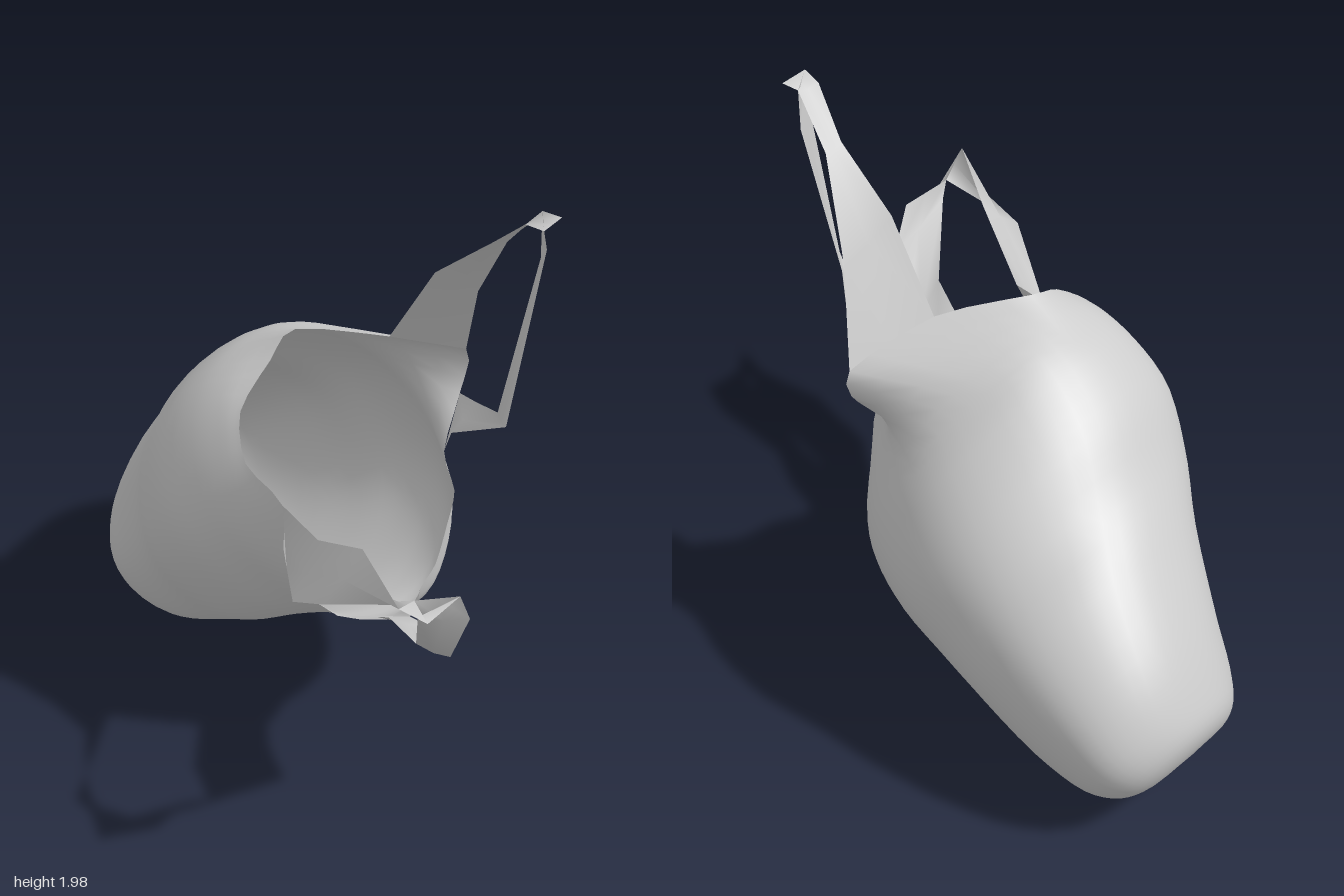
import * as THREE from 'three';

const material = new THREE.MeshStandardMaterial({ color: 0xcccccc, side: THREE.DoubleSide });

// Bag space to world: t runs along the bag to its mouth, s across it, z stays
const place = (t, s, z) => new THREE.Vector3(0.85 * t - 0.53 * s, 0.53 * t + 0.85 * s, z);

// Oval cross-sections: t, s min, s max, z min, z max, lean of the top in z
const RINGS = [
  [-0.705, 0.66, 0.68, -0.33, -0.31, 0],
  [-0.695, 0.53, 0.79, -0.53, -0.12, -0.05],
  [-0.66, 0.44, 0.87, -0.62, -0.05, -0.07],
  [-0.58, 0.36, 0.94, -0.69, 0.02, -0.09],
  [-0.42, 0.285, 1.03, -0.73, 0.1, -0.09],
  [-0.15, 0.25, 1.11, -0.75, 0.22, -0.04],
  [0.05, 0.24, 1.16, -0.74, 0.33, 0.02],
  [0.25, 0.23, 1.23, -0.72, 0.39, 0.07],
  [0.43, 0.2, 1.25, -0.66, 0.38, 0.08],
  [0.57, 0.18, 1.24, -0.58, 0.37, 0.05],
];

// Uneven mouth edge (t, s, z), from the top round by the front
const RIM = [
  [0.72, 1.22, -0.04], [0.7, 1.17, 0.1], [0.64, 1.07, 0.25], [0.65, 0.92, 0.33],
  [0.76, 0.77, 0.36], [0.63, 0.56, 0.34], [0.62, 0.33, 0.22], [0.78, 0.235, 0.08],
  [0.72, 0.27, -0.07], [0.7, 0.3, -0.2], [0.76, 0.41, -0.27], [0.81, 0.5, -0.31],
  [0.88, 0.65, -0.27], [0.83, 0.77, -0.5], [0.9, 0.9, -0.54], [0.865, 1.065, -0.27],
].map((p) => place(...p));

// Surface through a grid of points given as rows
function sheet(name, rows) {
  const n = rows[0].length;
  const index = [];
  for (let i = 0; i < rows.length - 1; i++) {
    for (let j = 0; j < n - 1; j++) {
      const a = i * n + j, b = a + n;
      index.push(a, b, a + 1, b, b + 1, a + 1);
    }
  }
  const geometry = new THREE.BufferGeometry().setFromPoints(rows.flat());
  geometry.setIndex(index);
  geometry.computeVertexNormals();
  const mesh = new THREE.Mesh(geometry, material);
  mesh.name = name;
  return mesh;
}

// Bag wall: one smooth lengthwise curve per angle, ending on the mouth edge
function bagBody() {
  const sides = 48, steps = 36;
  const rim = new THREE.CatmullRomCurve3(RIM, true, 'catmullrom', 0.4);
  const columns = [];
  for (let k = 0; k < sides; k++) {
    const a = (k / sides) * Math.PI * 2;
    const points = RINGS.map(([t, s0, s1, z0, z1, lean], i) => {
      // Soft creases, fading towards the closed end
      const fold = 1 - 0.015 * Math.min(1, i / 4) * (1 + Math.sin(3 * a + 5 * t) * Math.cos(4 * a - 4 * t));
      return place(
        t,
        (s0 + s1) / 2 + ((s1 - s0) / 2) * Math.cos(a) * fold,
        (z0 + z1) / 2 + ((z1 - z0) / 2) * Math.sin(a) * fold + lean * Math.cos(a)
      );
    });
    points.push(rim.getPoint(k / sides));
    columns.push(new THREE.CatmullRomCurve3(points).getPoints(steps));
  }
  const mesh = sheet('bagBody', [...columns, columns[0]]);

  // Share normals across the closing seam
  const normal = mesh.geometry.attributes.normal;
  const n = steps + 1, last = sides * n;
  for (let j = 0; j < n; j++) {
    const v = new THREE.Vector3().fromBufferAttribute(normal, j)
      .add(new THREE.Vector3().fromBufferAttribute(normal, last + j)).normalize();
    normal.setXYZ(j, v.x, v.y, v.z);
    normal.setXYZ(last + j, v.x, v.y, v.z);
  }
  return mesh;
}

// Handle strand: a ribbon between two edges that start on the mouth edge
function strand(name, rimA, rimB, edgeA, edgeB) {
  const row = (start, edge) => [RIM[start], ...edge.map((p) => new THREE.Vector3(...p))];
  const a = row(rimA, edgeA), b = row(rimB, edgeB);
  // A shallow lengthwise curl through the middle of the strip
  const middle = a.map((p, i) => {
    const m = p.clone().add(b[i]).multiplyScalar(0.5);
    if (i > 0 && i < a.length - 1) m.y -= 0.01;
    return m;
  });
  return sheet(name, [a, middle, b]);
}

export function createModel() {
  const bag = new THREE.Group();
  bag.name = 'carrierBag';
  bag.add(bagBody());

  // Front handle
  const frontHandle = new THREE.Group();
  frontHandle.name = 'frontHandle';
  frontHandle.add(
    strand('frontHandleUpperStrand', 4, 5,
      [[0.42, 1.03, 0.41], [0.69, 1.18, 0.54], [0.98, 1.21, 0.75]],
      [[0.45, 0.9, 0.57], [0.66, 1.05, 0.69], [0.94, 1.15, 0.62]]),
    strand('frontHandleLowerStrand', 6, 7,
      [[0.66, 0.82, 0.36], [0.83, 0.85, 0.45], [0.94, 1.08, 0.6], [0.94, 1.15, 0.62]],
      [[0.66, 0.67, 0.15], [0.82, 0.68, 0.25], [0.96, 0.95, 0.36], [0.99, 1.1, 0.46]]),
    // Gathered tip joining the two strands
    sheet('frontHandleTip', [
      [new THREE.Vector3(0.98, 1.21, 0.75), new THREE.Vector3(0.94, 1.15, 0.62)],
      [new THREE.Vector3(0.99, 1.09, 0.62), new THREE.Vector3(0.94, 1.08, 0.6)],
      [new THREE.Vector3(0.99, 1.1, 0.46), new THREE.Vector3(0.94, 1.08, 0.6)],
    ])
  );

  // Back handle
  const backHandle = new THREE.Group();
  backHandle.name = 'backHandle';
  backHandle.add(
    strand('backHandleUpperStrand', 14, 15,
      [[0.4, 1.54, -0.43], [0.58, 1.82, -0.31], [0.72, 1.98, -0.28], [0.79, 1.98, -0.28]],
      [[0.35, 1.66, -0.26], [0.57, 1.84, -0.25], [0.72, 1.97, -0.19], [0.8, 1.98, -0.17]]),
    strand('backHandleLowerStrand', 12, 13,
      [[0.45, 1.12, -0.24], [0.73, 1.3, -0.13], [0.82, 1.93, -0.16], [0.8, 1.98, -0.17]],
      [[0.44, 1.17, -0.38], [0.65, 1.29, -0.2], [0.73, 1.83, -0.27], [0.72, 1.98, -0.28]])
  );

  bag.add(frontHandle, backHandle);
  return bag;
}
